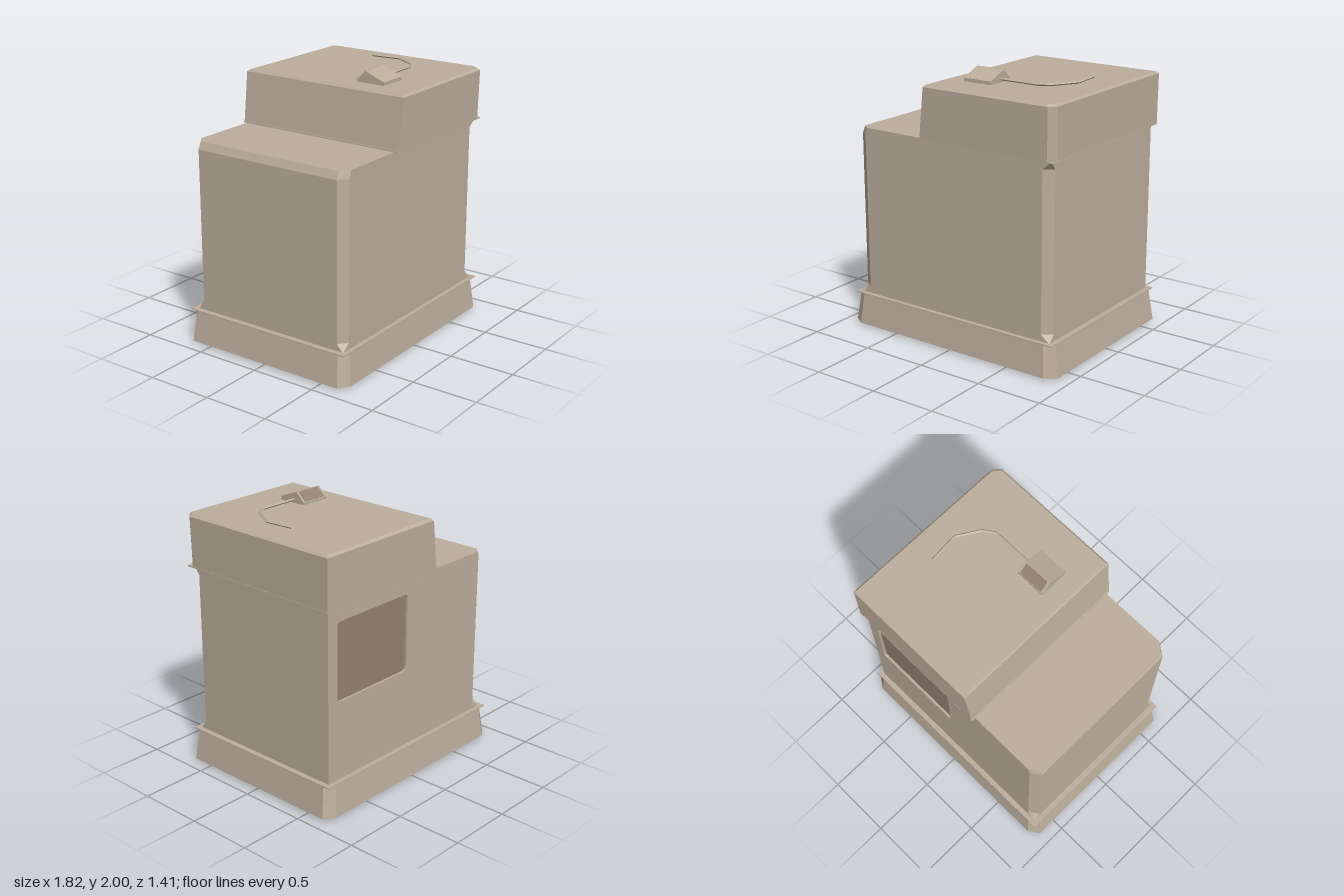
import * as THREE from 'three';

// Eight-point rectangular ring; k scales the corner cuts in the order
// (+x+z), (+x-z), (-x-z), (-x+z).
function ring(y, x0, x1, z0, z1, dx, dz, k = [1, 1, 1, 1]) {
  return [
    [x1 - dx * k[0], y, z1], [x1, y, z1 - dz * k[0]],
    [x1, y, z0 + dz * k[1]], [x1 - dx * k[1], y, z0],
    [x0 + dx * k[2], y, z0], [x0, y, z0 + dz * k[2]],
    [x0, y, z1 - dz * k[3]], [x0 + dx * k[3], y, z1],
  ];
}

// Closed solid through stacked rings; one side can be left out.
function loft(rings, skip = -1) {
  const v = [];
  const tri = (...p) => p.forEach((q) => v.push(...q));
  for (let r = 0; r < rings.length - 1; r++) {
    for (let i = 0; i < 8; i++) {
      if (i === skip) continue;
      const j = (i + 1) % 8;
      const a = rings[r][i], b = rings[r][j], c = rings[r + 1][j], d = rings[r + 1][i];
      tri(a, b, c);
      tri(a, c, d);
    }
  }
  const bottom = rings[0], top = rings[rings.length - 1];
  for (let i = 1; i < 7; i++) {
    tri(bottom[0], bottom[i + 1], bottom[i]);
    tri(top[0], top[i], top[i + 1]);
  }
  const g = new THREE.BufferGeometry();
  g.setAttribute('position', new THREE.Float32BufferAttribute(v, 3));
  g.computeVertexNormals();
  return g;
}

export function createModel() {
  const group = new THREE.Group();
  const casing = new THREE.MeshStandardMaterial({ color: 0xbcae9d, flatShading: true });
  casing.name = 'casing beige';
  const panel = new THREE.MeshStandardMaterial({ color: 0x958174, flatShading: true });
  panel.name = 'panel brown';

  const add = (name, geometry, material = casing, x = 0, y = 0, z = 0) => {
    const mesh = new THREE.Mesh(geometry, material);
    mesh.name = name;
    mesh.position.set(x, y, z);
    group.add(mesh);
    return mesh;
  };

  // Flared plinth and its square-cornered lip
  add('base', loft([
    ring(0, -0.88, 0.88, -0.675, 0.675, 0.07, 0.05),
    ring(0.015, -0.91, 0.91, -0.705, 0.705, 0.08, 0.055),
    ring(0.25, -0.877, 0.877, -0.68, 0.68, 0.07, 0.05),
  ]));
  add('baseLip', new THREE.BoxGeometry(1.76, 0.008, 1.365), casing, 0, 0.25, 0);

  // Main body: cut corners except at the back left
  const cuts = [1, 0, 1, 1];
  const bodyRings = [
    ring(0.25, -0.84, 0.84, -0.645, 0.65, 0.07, 0.05, [0.05, 0, 0.05, 0.05]),
    ring(0.305, -0.84, 0.84, -0.645, 0.65, 0.07, 0.05, cuts),
    ring(1.47, -0.84, 0.84, -0.645, 0.65, 0.07, 0.05, cuts),
    ring(1.525, -0.815, 0.84, -0.645, 0.65, 0.065, 0.05, [0.05, 0, 1, 1]),
  ];
  add('body', loft(bodyRings, 3));

  // Back wall with a rounded opening
  const wall = new THREE.Shape([
    ...bodyRings.map((r) => new THREE.Vector2(r[3][0], r[3][1])),
    ...bodyRings.map((r) => new THREE.Vector2(r[4][0], r[4][1])).reverse(),
  ]);
  const [l, r, b, t, c] = [0.035, 0.75, 0.84, 1.42, 0.03];
  const hole = new THREE.Path();
  hole.moveTo(l + c, b);
  hole.lineTo(r - c, b);
  hole.quadraticCurveTo(r, b, r, b + c);
  hole.lineTo(r, t - c);
  hole.quadraticCurveTo(r, t, r - c, t);
  hole.lineTo(l + c, t);
  hole.quadraticCurveTo(l, t, l, t - c);
  hole.lineTo(l, b + c);
  hole.quadraticCurveTo(l, b, l + c, b);
  wall.holes.push(hole);
  add('backWall', new THREE.ExtrudeGeometry(wall, { depth: 0.02, bevelEnabled: false, curveSegments: 3 }),
    casing, 0, 0, -0.645);
  add('backPanel', new THREE.BoxGeometry(r - l, t - b, 0.008), panel, (l + r) / 2, (b + t) / 2, -0.623);

  // Raised upper housing with a slanted side and a thin lip
  const one = [1, 0, 0, 0];
  add('upperHousing', loft([
    ring(1.528, -0.243, 0.872, -0.673, 0.68, 0.045, 0.055, one),
    ring(1.9, -0.197, 0.875, -0.675, 0.688, 0.045, 0.055, one),
    ring(1.915, -0.185, 0.86, -0.655, 0.672, 0.045, 0.055, one),
  ]));
  add('upperLip', new THREE.BoxGeometry(1.125, 0.008, 1.352), casing, 0.3125, 1.529, 0.002);

  // Wedge-shaped box on the roof; profile drawn in z and y
  const profile = new THREE.Shape([[0.425, 1.912], [0.425, 1.94], [0.27, 2.0], [0.2, 1.935], [0.2, 1.912]]
    .map(([z, y]) => new THREE.Vector2(-z, y)));
  const wedge = new THREE.ExtrudeGeometry(profile, { depth: 0.23, bevelEnabled: false });
  wedge.rotateY(Math.PI / 2);
  add('roofBox', wedge, casing, -0.045, 0, 0);
  const face = add('roofBoxPanel', new THREE.BoxGeometry(0.195, 0.006, 0.085), panel, 0.07, 1.968, 0.235);
  face.rotation.x = -Math.atan2(0.065, 0.07);

  // Bent square rod leading from the roof box
  const path = new THREE.CurvePath();
  const pts = [[0.17, 0.302], [0.49, 0.302], [0.575, 0.245], [0.675, 0.08], [0.655, -0.145]]
    .map(([x, z]) => new THREE.Vector3(x, 1.938, z));
  for (let i = 1; i < pts.length; i++) path.add(new THREE.LineCurve3(pts[i - 1], pts[i]));
  add('roofRod', new THREE.TubeGeometry(path, 40, 0.01, 4), casing);

  return group;
}
